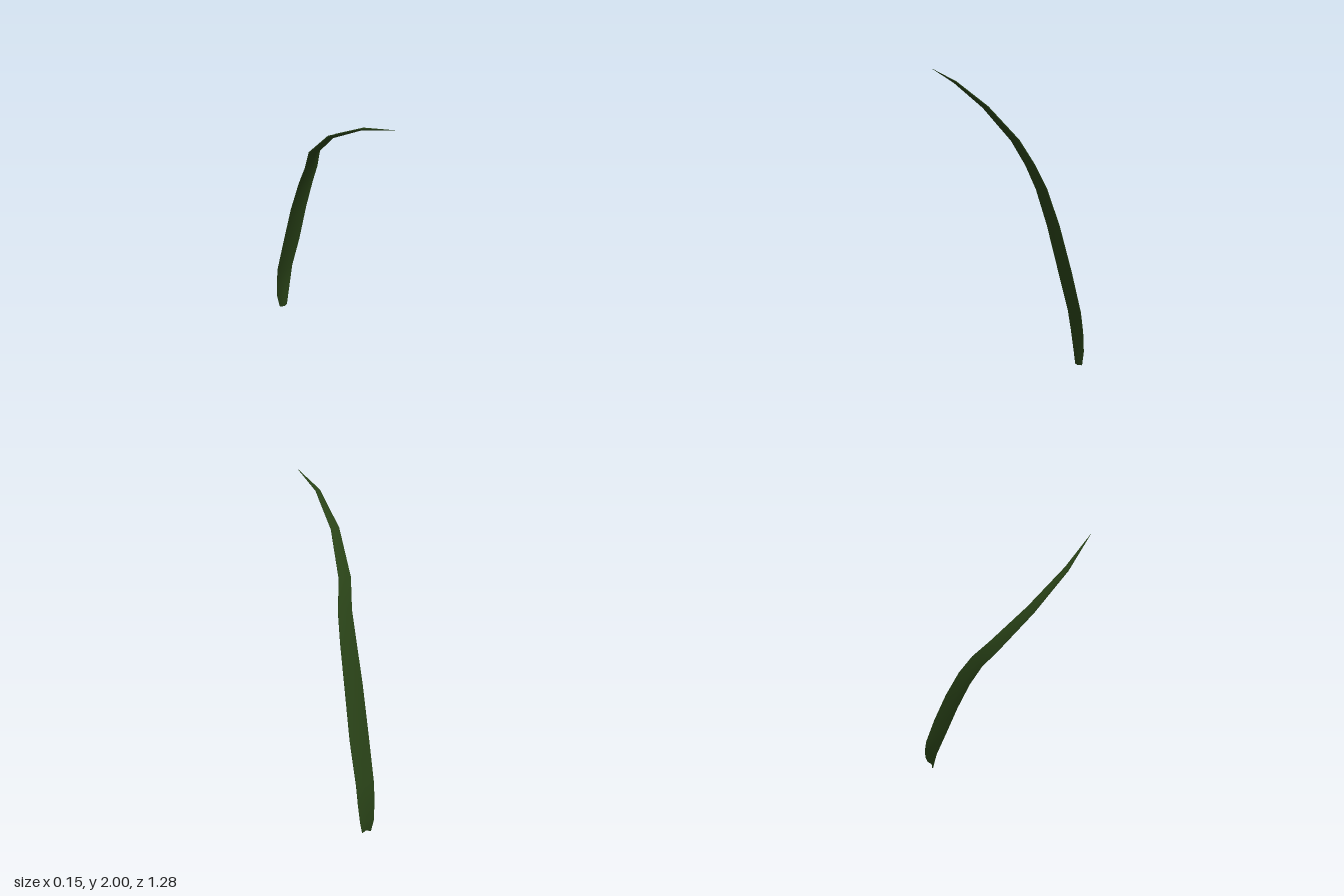
import * as THREE from 'three';

// Stations along the blade: [y, z of the edges, left edge x, right edge x, fold depth, thickness]
const STATIONS = [
  [0.0, -0.64, -0.025, 0.035, 0.014, 0.008],
  [0.1, -0.64, -0.042, 0.05, 0.014, 0.009],
  [0.25, -0.619, -0.05, 0.06, 0.015, 0.01],
  [0.4, -0.588, -0.053, 0.064, 0.016, 0.01],
  [0.7, -0.481, -0.05, 0.073, 0.016, 0.01],
  [1.03, -0.363, -0.045, 0.068, 0.015, 0.01],
  [1.28, -0.253, -0.04, 0.059, 0.017, 0.01],
  [1.44, -0.16, -0.043, 0.042, 0.016, 0.01],
  [1.6, -0.058, -0.07, 0.003, 0.013, 0.01],
  [1.805, 0.175, -0.076, -0.025, 0.011, 0.009],
  [1.942, 0.43, -0.038, -0.01, 0.006, 0.006],
  [2.0, 0.64, 0.04, 0.041, 0, 0.001],
];
const RING = 6;

// Solid folded strip: a shallow V channel on the back, its ridge on the front
function bladeGeometry() {
  const positions = [];
  const indices = [];
  const last = STATIONS.length - 1;
  STATIONS.forEach(([y, z, x0, x1, fold, thick], i) => {
    const a = STATIONS[Math.max(i - 1, 0)];
    const b = STATIONS[Math.min(i + 1, last)];
    const length = Math.hypot(b[0] - a[0], b[1] - a[1]);
    const ny = i === 0 ? 0 : -(b[1] - a[1]) / length;
    const nz = (b[0] - a[0]) / length;
    const mid = (x0 + x1) / 2;
    const ring = [
      [x0, 0], [mid, fold], [x1, 0],
      [x1, thick], [mid, fold + thick], [x0, thick],
    ];
    ring.forEach(([x, d]) => positions.push(x, y + ny * d, z + nz * d));
    if (i === last) return;
    for (let s = 0; s < RING; s++) {
      const p = i * RING + s;
      const q = i * RING + ((s + 1) % RING);
      indices.push(p, p + RING, q, q, p + RING, q + RING);
    }
  });
  // Base cap
  indices.push(0, 1, 4, 0, 4, 5, 1, 2, 3, 1, 3, 4);
  const geometry = new THREE.BufferGeometry();
  geometry.setAttribute('position', new THREE.Float32BufferAttribute(positions, 3));
  geometry.setIndex(indices);
  geometry.computeVertexNormals();
  return geometry;
}

export function createModel() {
  const group = new THREE.Group();
  group.name = 'grassBlade';
  const material = new THREE.MeshStandardMaterial({ color: 0x294217 });
  const blade = new THREE.Mesh(bladeGeometry(), material);
  blade.name = 'blade';
  group.add(blade);
  return group;
}
